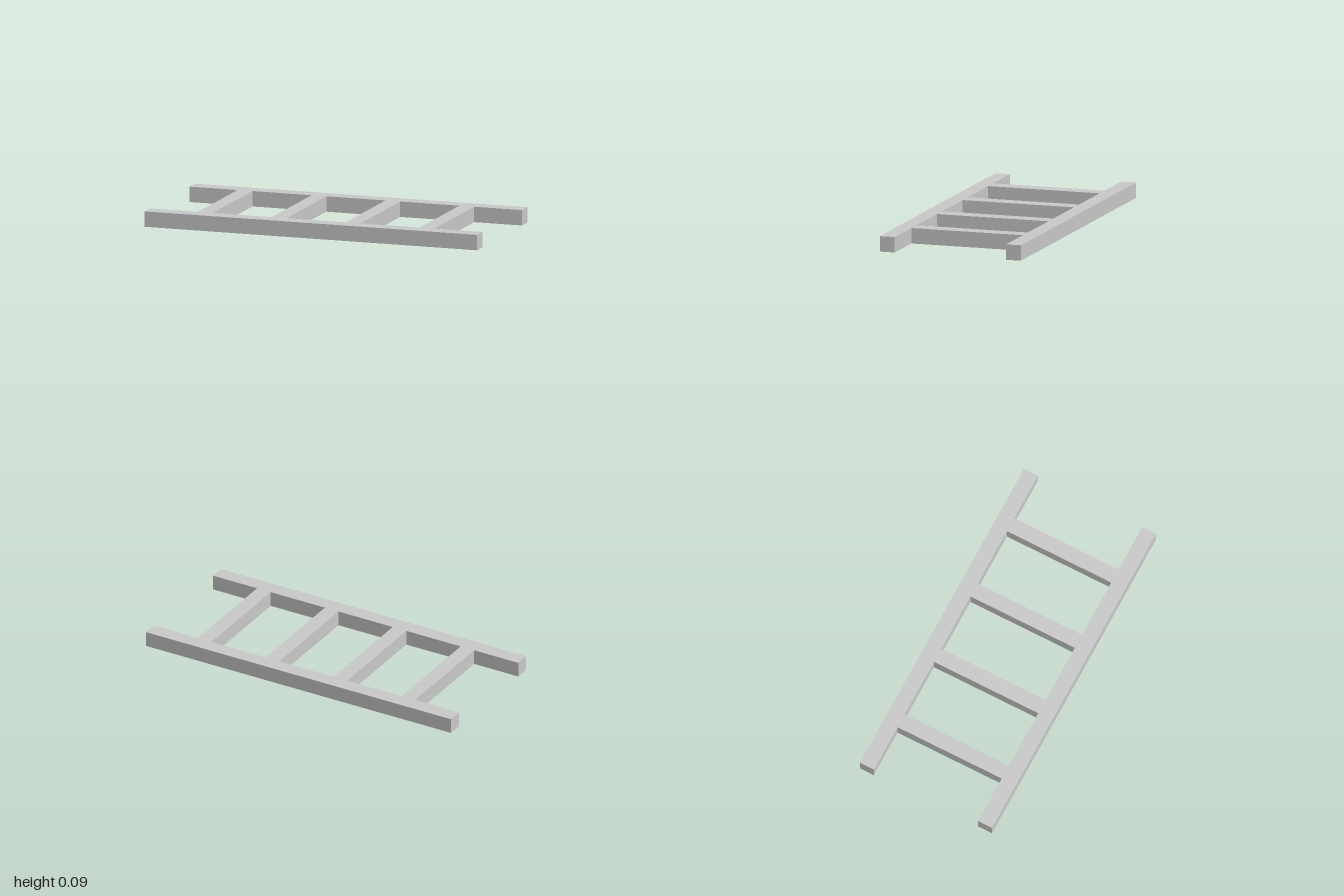
import * as THREE from 'three';

const BEAM = 0.0889; // square section of every beam
const LENGTH = 2;
const WIDTH = 0.8444;
const RUNG_X = [-0.6667, -0.2222, 0.2222, 0.6667];

export function createModel() {
  const ladder = new THREE.Group();
  ladder.name = 'ladder';
  const material = new THREE.MeshStandardMaterial({ color: 0xcccccc, flatShading: true });

  const beam = (name, sizeX, sizeZ, x, z) => {
    const mesh = new THREE.Mesh(new THREE.BoxGeometry(sizeX, BEAM, sizeZ), material);
    mesh.name = name;
    mesh.position.set(x, BEAM / 2, z);
    ladder.add(mesh);
  };

  // Two long side rails
  const railZ = (WIDTH - BEAM) / 2;
  beam('frontRail', LENGTH, BEAM, 0, railZ);
  beam('backRail', LENGTH, BEAM, 0, -railZ);

  // Rungs fitted between the rails
  RUNG_X.forEach((x, i) => beam(`rung${i + 1}`, BEAM, WIDTH - 2 * BEAM, x, 0));

  return ladder;
}
